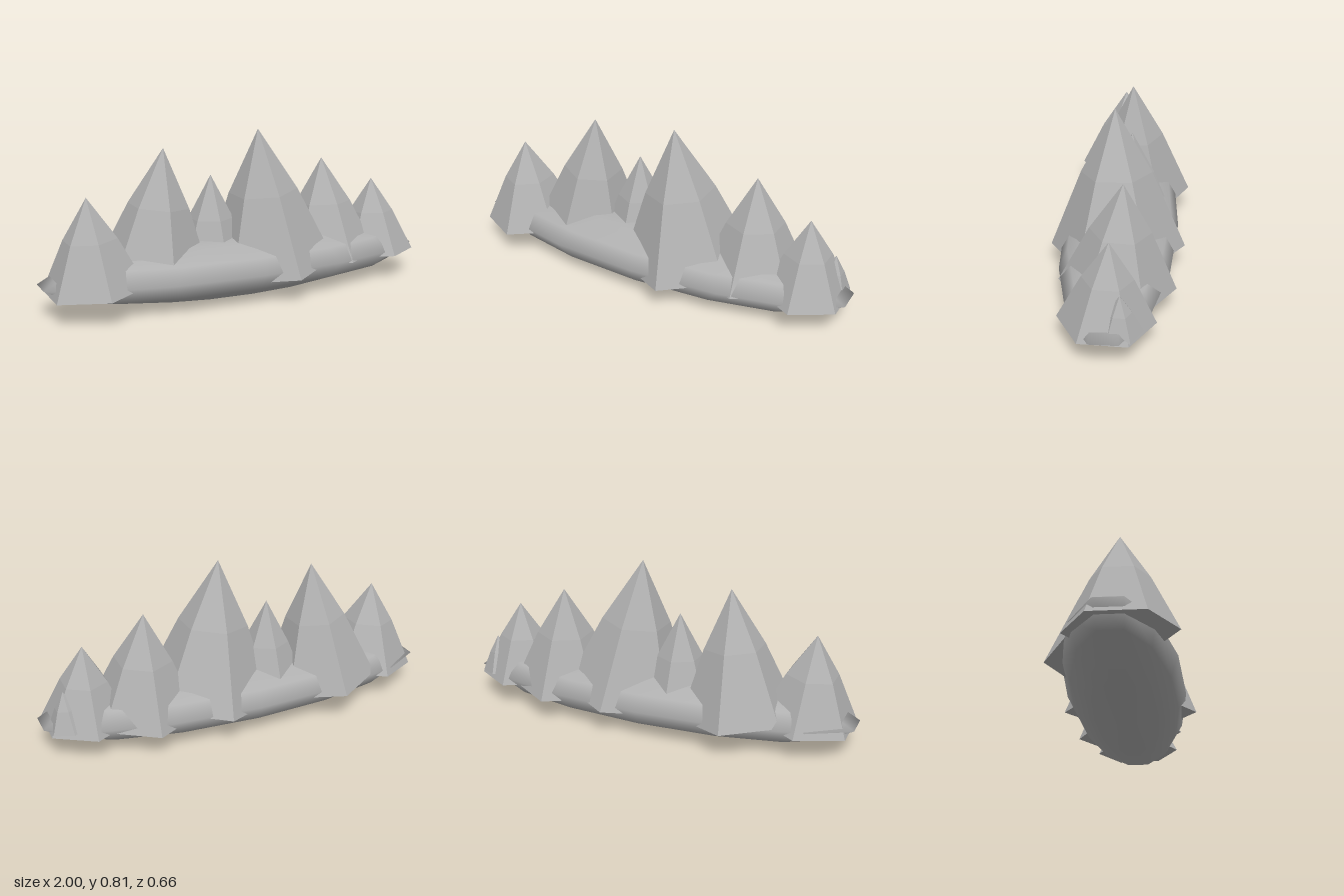
import * as THREE from 'three';

const stone = new THREE.MeshStandardMaterial({ color: 0xb0b0b0 });
stone.name = 'stone grey';

// Six-sided unit peak standing on y = 0, bulging slightly at its middle ring
function peakGeometry() {
  const g = new THREE.CylinderGeometry(0, 1, 1, 6, 2);
  const p = g.attributes.position;
  for (let i = 0; i < p.count; i++) {
    if (Math.abs(p.getY(i)) < 0.01) {
      p.setXYZ(i, p.getX(i) * 1.04, 0.05, p.getZ(i) * 1.04);
    }
  }
  g.translate(0, 0.5, 0);
  const flat = g.toNonIndexed();
  flat.computeVertexNormals();
  return flat;
}

// Base centre, radius, height and lean (rx, rz) of every peak
const peaks = [
  { name: 'farRightPeak', at: [-0.755, 0.123, 0.03], r: 0.245, h: 0.428, rx: 0, rz: 0.0625 },
  { name: 'rightPeak', at: [-0.44, 0.13, -0.048], r: 0.284, h: 0.612, rx: 0.025, rz: -0.095 },
  { name: 'smallMiddlePeak', at: [-0.133, 0.12, -0.045], r: 0.213, h: 0.47, rx: 0, rz: 0 },
  { name: 'tallestPeak', at: [0.165, 0.125, 0.005], r: 0.327, h: 0.688, rx: 0.025, rz: 0.108 },
  { name: 'leftPeak', at: [0.51, 0.125, -0.02], r: 0.27, h: 0.505, rx: -0.05, rz: 0.03 },
  { name: 'farLeftPeak', at: [0.785, 0.125, 0.005], r: 0.217, h: 0.38, rx: -0.03, rz: 0.012 },
  { name: 'foothillSpike', at: [0.88, 0.145, -0.06], r: 0.1, h: 0.18, rx: 0, rz: -0.1 },
];

export function createModel() {
  const group = new THREE.Group();
  group.name = 'mountainRange';

  // Smooth flattened mound along the whole ridge
  const mound = new THREE.SphereGeometry(1, 14, 6);
  mound.rotateY(Math.PI / 2);
  mound.scale(1.025, 0.15, 0.285);
  const base = new THREE.Mesh(mound, stone);
  base.name = 'moundBase';
  base.position.y = 0.15;
  group.add(base);

  // Leaning peaks
  const geometry = peakGeometry();
  for (const { name, at, r, h, rx, rz } of peaks) {
    const peak = new THREE.Mesh(geometry, stone);
    peak.name = name;
    peak.position.set(...at);
    peak.rotation.set(rx, 0, rz);
    peak.scale.set(r, h, r);
    group.add(peak);
  }
  return group;
}
